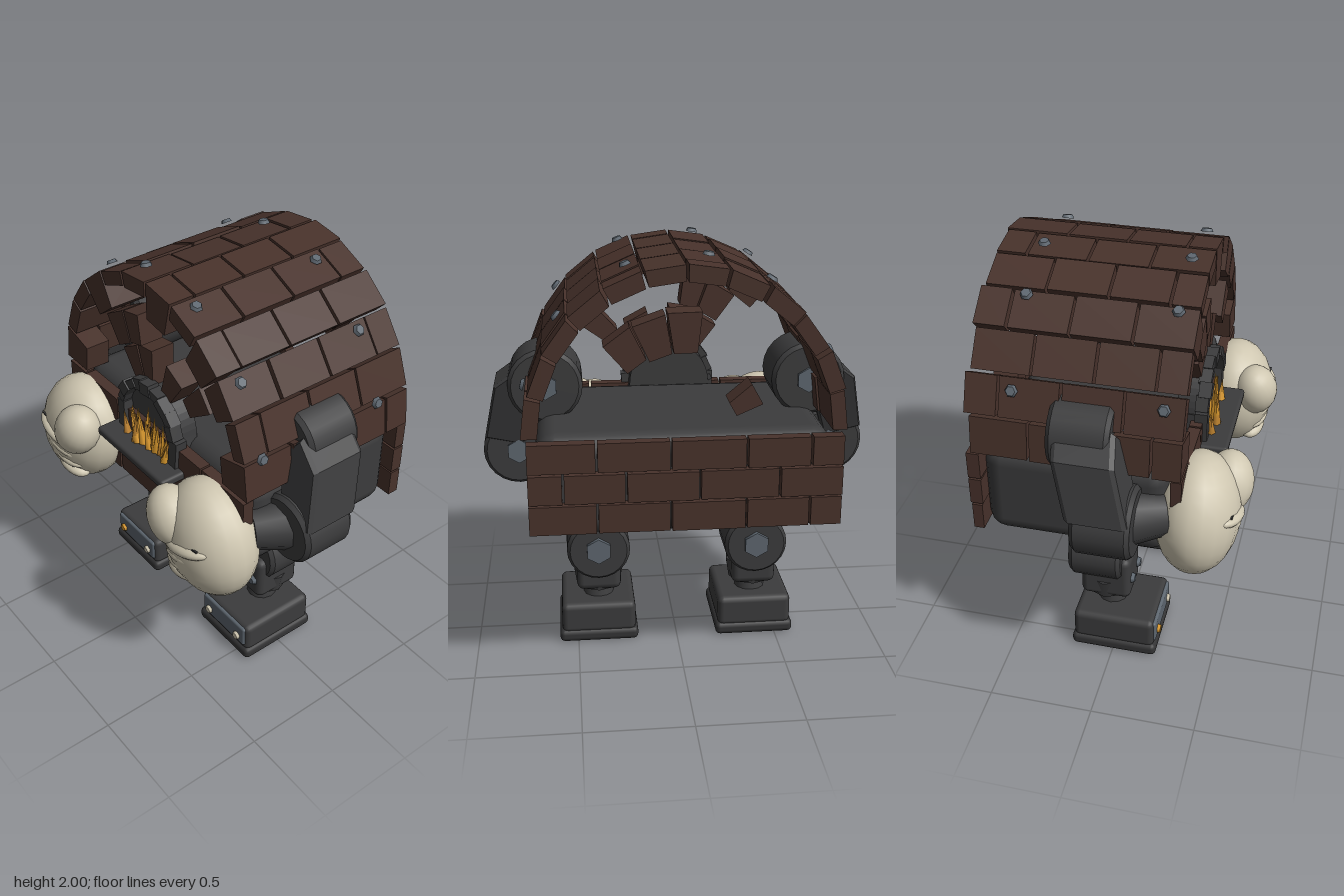
import * as THREE from 'three';
import { RoundedBoxGeometry } from 'three/addons/geometries/RoundedBoxGeometry.js';

const mat = (name, color) => Object.assign(new THREE.MeshStandardMaterial({ color }), { name });

export function createModel() {
  const root = new THREE.Group();
  root.name = 'walkingOven';
  const brick = mat('brick', 0x48322b), iron = mat('iron', 0x3c3c3d), darkIron = mat('darkIron', 0x343435);
  const steel = mat('steel', 0x5e6770), cream = mat('cream', 0xcfc7b1), gold = mat('gold', 0xdb9a2e);
  const flameDark = mat('deepFlame', 0xc08430);

  let seed = 7;
  const rnd = () => (seed = (seed * 16807) % 2147483647) / 2147483647;
  const jit = (a) => (rnd() - 0.5) * a;

  function add(name, geo, material, x = 0, y = 0, z = 0, parent = root) {
    const m = new THREE.Mesh(geo, material);
    m.name = name;
    m.position.set(x, y, z);
    parent.add(m);
    return m;
  }
  const group = (name) => {
    const g = new THREE.Group();
    g.name = name;
    root.add(g);
    return g;
  };
  const rbox = (w, h, d, r) => new RoundedBoxGeometry(w, h, d, 2, r);
  // Drum with slightly bevelled rims, lying along z
  const drum = (r, len) => new THREE.LatheGeometry([[0, -len / 2], [r * 0.9, -len / 2], [r * 0.9, -len / 2], [r, -len / 2 + 0.02],
    [r, -len / 2 + 0.02], [r, len / 2 - 0.02], [r, len / 2 - 0.02], [r * 0.9, len / 2], [r * 0.9, len / 2], [0, len / 2]]
    .map((p) => new THREE.Vector2(...p)), 24).rotateX(Math.PI / 2);
  const stud = (r, len) => new THREE.CylinderGeometry(r * 0.75, r, len, 6).rotateX(Math.PI / 2);

  // Wedge brick bent around the arch, angle measured from the top
  const CY = 1.22;
  function wedge(a0, a1, r0, r1, z0, z1) {
    const g = new THREE.BoxGeometry(1, 1, 1), p = g.attributes.position;
    for (let i = 0; i < p.count; i++) {
      const a = p.getX(i) < 0 ? a0 : a1, r = p.getY(i) < 0 ? r0 : r1;
      p.setXYZ(i, 0.95 * r * Math.sin(a), CY + r * Math.cos(a), p.getZ(i) < 0 ? z0 : z1);
    }
    g.computeVertexNormals();
    return g;
  }

  // Barrel roof: twelve courses of staggered bricks, some front ones deeper
  const roof = group('roof');
  const step = Math.PI / 12, zBack = -0.6, zFront = 0.36;
  const deep = { 0: 0.58, 3: 0.58, 6: 0.58, 8: 0.6, 9: 0.62, 11: 0.58 };
  for (let i = 0; i < 12; i++) {
    const a0 = -Math.PI / 2 + i * step + 0.01, a1 = a0 + step - 0.02;
    const cuts = i % 2 ? [zBack, -0.47, -0.19, 0.09, zFront] : [zBack, -0.33, -0.05, 0.22, zFront];
    for (let k = 0; k < 4; k++) {
      const back = k === 0 ? 0.02 + jit(0.03) : 0;
      const inner = k === 3 && deep[i] ? deep[i] : 0.685 + jit(0.012);
      add('roofBrick', wedge(a0, a1, inner, 0.762 + jit(0.012), cuts[k] + 0.006 - back, cuts[k + 1] - 0.006), brick, 0, 0, 0, roof);
    }
  }
  // Thin roof bolts
  for (const deg of [-65, -32.5, -9, 20, 49, 75]) for (const z of [0.265, -0.405]) {
    const a = deg * Math.PI / 180;
    const b = add('roofBolt', new THREE.CylinderGeometry(0.022, 0.03, 0.016, 6), steel,
      0.95 * 0.782 * Math.sin(a), CY + 0.782 * Math.cos(a), z, roof);
    b.rotation.z = -a;
  }

  // Broken fans of bricks: one half closes the rear of the vault, the other the front
  const fan = group('brickFans');
  const ring = (list, r0, r1, z) => list.forEach(([a, b]) =>
    add('fanBrick', wedge(a, b, r0 + jit(0.03), r1 + jit(0.02), z - 0.06, z + 0.06), brick, 0, 0, 0, fan));
  ring([[-0.12, 0.16], [0.18, 0.46], [0.48, 0.74]], 0.4, 0.57, -0.56);
  ring([[-1.18, -0.9]], 0.24, 0.38, -0.56);
  ring([[-0.66, -0.38], [-0.36, -0.14], [0.76, 0.98]], 0.4, 0.57, 0.29);
  ring([[-0.68, -0.34], [-0.3, 0.0], [0.3, 0.64]], 0.22, 0.39, 0.27);

  // Front and rear brick walls
  for (const [name, z] of [['frontWall', 0.33], ['rearWall', -0.6]]) {
    const wall = group(name);
    for (let row = 0; row < 3; row++) {
      const cuts = row % 2 ? [-0.71, -0.42, -0.06, 0.27, 0.55, 0.71] : [-0.71, -0.56, -0.27, 0.07, 0.4, 0.71];
      for (let k = 0; k < 5; k++) {
        const w = cuts[k + 1] - cuts[k] - 0.01;
        add('wallBrick', new THREE.BoxGeometry(w, 0.135, 0.055 + jit(0.012)), brick,
          (cuts[k] + cuts[k + 1]) / 2, 0.85 + row * 0.145, z, wall);
      }
    }
  }

  // Iron hull carrying the oven
  add('hull', rbox(1.34, 0.48, 0.87, 0.09), iron, 0, 0.98, -0.145);

  // Oven mouth: arched hood, rim stones, tray and fire
  const oven = group('ovenMouth');
  const arch = new THREE.Shape();
  arch.moveTo(-0.22, 1.08);
  arch.lineTo(-0.22, 1.24);
  arch.absarc(0, 1.23, 0.2, Math.PI, 0, true);
  arch.lineTo(0.22, 1.08);
  add('hood', new THREE.ExtrudeGeometry(arch, { depth: 0.1, bevelEnabled: false, curveSegments: 10 }), iron, 0, 0, 0.23, oven);
  for (let i = 0; i < 11; i++) {
    const a = Math.PI * (i / 10), low = i === 0 || i === 10;
    const s = add('rimStone', new THREE.BoxGeometry(0.05 + jit(0.02), low ? 0.15 : 0.075, 0.06), iron,
      0.205 * Math.cos(a), (low ? 1.18 : 1.23) + 0.2 * Math.sin(a), 0.35 + jit(0.02), oven);
    s.rotation.z = a + jit(0.35);
  }
  add('trayLip', rbox(0.54, 0.045, 0.24, 0.015), iron, 0, 1.082, 0.365, oven);
  for (let i = 0; i < 20; i++) {
    const x = -0.16 + 0.32 * (i / 19), h = 0.1 + 0.1 * (1 - Math.abs(x) / 0.2) + jit(0.06);
    const f = add('flame', new THREE.ConeGeometry(0.022, h, 5), i % 3 ? gold : flameDark, x, 1.1 + h / 2, 0.375 + jit(0.05), oven);
    f.rotation.z = -x * 1.5 + jit(0.4);
  }

  for (const s of [1, -1]) {
    const side = s > 0 ? 'left' : 'right';

    // Arm: shoulder drum, slanted armour plate, elbow drum, forearm
    const arm = group(side + 'Arm');
    add('shoulder', drum(0.175, 0.28), iron, s * 0.62, 1.355, -0.09, arm);
    add('elbow', drum(0.17, 0.27), iron, s * 0.758, 1.0, 0.035, arm);
    for (const [x, y, z] of [[0.62, 1.355, 0.055], [0.62, 1.355, -0.235], [0.758, 1, -0.105]])
      add('jointCap', new THREE.CylinderGeometry(0.06, 0.06, 0.02, 6).rotateX(Math.PI / 2), steel, s * x, y, z, arm);
    const plate = new THREE.Shape([[0.66, 1.34], [0.73, 1.43], [0.85, 1.34], [0.905, 1.08], [0.74, 1.04], [0.69, 1.2]]
      .map(([x, y]) => new THREE.Vector2(s * x, y)));
    const upper = new THREE.ExtrudeGeometry(plate, { depth: 0.24, bevelEnabled: true, bevelSize: 0.01, bevelThickness: 0.02, bevelSegments: 1 });
    const p = upper.attributes.position;
    for (let i = 0; i < p.count; i++) p.setZ(i, p.getZ(i) - 0.18 + (1.4 - p.getY(i)) * 0.25);
    upper.computeVertexNormals();
    add('upperArm', upper, iron, 0, 0, 0, arm);
    const fore = add('forearm', new THREE.CylinderGeometry(0.1, 0.13, 0.18, 10).rotateX(Math.PI / 2), iron, s * 0.69, 0.99, 0.19, arm);
    fore.rotation.y = -s * 0.4;

    // Fist: palm, thumb and four curled fingers
    const hand = group(side + 'Hand');
    const ball = (name, x, y, z, rx, ry, rz, tilt) => {
      const m = add(name, new THREE.SphereGeometry(1, 20, 14), cream, s * x, y, z, hand);
      m.scale.set(rx, ry, rz);
      m.rotation.z = s * tilt;
      return m;
    };
    ball('palm', 0.53, 0.928, 0.4, 0.252, 0.293, 0.2, 0.3);
    ball('thumb', 0.4, 1.025, 0.52, 0.12, 0.15, 0.115, 0.55);
    for (let i = 0; i < 4; i++) {
      const x = 0.54 - i * 0.018, y = 0.955 - i * 0.066;
      ball('finger', x, y, 0.53 - i * 0.008, 0.155 - i * 0.014, 0.043, 0.085 - i * 0.006, 0.25 - i * 0.03);
      const slit = add('fingerGap', new THREE.BoxGeometry(0.17, 0.008, 0.008), darkIron, s * (x + 0.03), y + 0.035, 0.572 - i * 0.008, hand);
      slit.rotation.z = s * (0.25 - i * 0.03);
    }

    // Leg: hip ring, knee drum, shin block, ankle
    const leg = group(side + 'Leg'), lx = s * 0.39;
    add('hip', new THREE.CylinderGeometry(0.15, 0.13, 0.09, 20), iron, s * 0.37, 0.71, -0.1, leg);
    add('hipPost', new THREE.CylinderGeometry(0.1, 0.1, 0.12, 14), darkIron, s * 0.38, 0.63, -0.1, leg);
    add('knee', drum(0.155, 0.26), iron, lx, 0.51, -0.1, leg);
    for (const z of [0.035, -0.24])
      add('kneeCap', new THREE.CylinderGeometry(0.065, 0.065, 0.025, 6).rotateX(Math.PI / 2), steel, lx, 0.515, z, leg);
    add('shin', rbox(0.22, 0.24, 0.25, 0.035), iron, lx, 0.39, -0.055, leg);
    add('shinCuff', new THREE.CylinderGeometry(0.125, 0.11, 0.1, 8), iron, lx, 0.315, -0.06, leg);
    for (const d of [-0.06, 0.06]) add('shinBolt', stud(0.028, 0.02), steel, lx + d, 0.38, 0.078, leg);
    add('ankle', new THREE.CylinderGeometry(0.06, 0.08, 0.1, 12), iron, lx, 0.235, -0.04, leg);
    add('ankleRing', new THREE.CylinderGeometry(0.085, 0.085, 0.02, 12), cream, lx, 0.262, -0.05, leg);

    // Foot: sole, block, steel toe plate and its bolts
    const foot = group(side + 'Foot'), fx = s * 0.395;
    add('sole', rbox(0.395, 0.065, 0.43, 0.025), darkIron, fx, 0.0325, 0.005, foot);
    add('footBlock', rbox(0.37, 0.16, 0.41, 0.03), iron, fx, 0.125, 0.003, foot);
    add('toePlate', rbox(0.33, 0.115, 0.03, 0.012), steel, fx, 0.135, 0.202, foot);
    for (const d of [-0.113, 0.113])
      add('toeBolt', stud(0.025, 0.02), s < 0 && d < 0 ? gold : cream, fx + d, 0.12, 0.222, foot);
  }
  return root;
}
